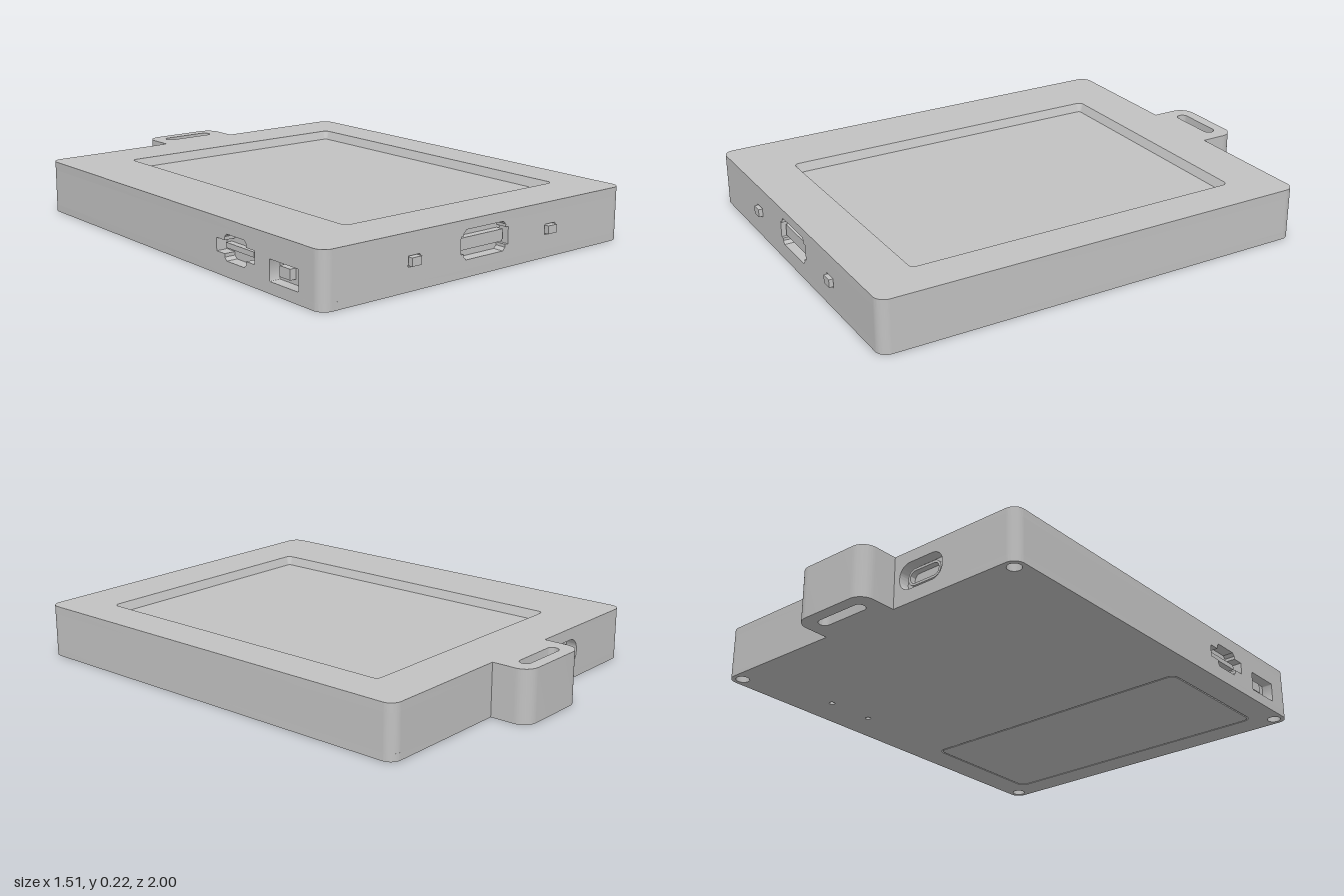
import * as THREE from 'three';
import { toCreasedNormals } from 'three/addons/utils/BufferGeometryUtils.js';

const CX = 0.755, Z0 = -0.84, Z1 = 0.985, R = 0.045; // case extents and wall thickness
const MID = (Z0 + Z1) / 2, LOW = 0.03, HIGH = 0.18, TOP = 0.215;

// Rounded rectangle from corner to corner, as a Shape or Path
function rounded(x0, y0, x1, y1, r, Type = THREE.Path) {
  const p = new Type();
  p.moveTo(x0 + r, y0);
  p.lineTo(x1 - r, y0);
  p.absarc(x1 - r, y0 + r, r, -Math.PI / 2, 0);
  p.lineTo(x1, y1 - r);
  p.absarc(x1 - r, y1 - r, r, 0, Math.PI / 2);
  p.lineTo(x0 + r, y1);
  p.absarc(x0 + r, y1 - r, r, Math.PI / 2, Math.PI);
  p.lineTo(x0, y0 + r);
  p.absarc(x0 + r, y0 + r, r, Math.PI, Math.PI * 1.5);
  return p;
}

const centred = (x, y, w, h, r, Type) => rounded(x - w / 2, y - h / 2, x + w / 2, y + h / 2, r, Type);

function circle(x, y, r) {
  const p = new THREE.Path();
  p.absarc(x, y, r, 0, Math.PI * 2);
  return p;
}

// Wide slot with a finger notch above and below
function notchedSlot(x, y, w, h, nw, nh) {
  const a = w / 2, b = h / 2, c = nw / 2, d = nh / 2, e = 0.012;
  const half = [[a, -b], [a, b], [c, b], [c, d - e], [c - e, d]];
  const other = [[-c + e, d], [-c, d - e], [-c, b], [-a, b], [-a, -b]];
  const low = [[-c, -b], [-c, -d + e], [-c + e, -d], [c - e, -d], [c, -d + e], [c, -b]];
  return new THREE.Path([...half, ...other, ...low].map(([u, v]) => new THREE.Vector2(x + u, y + v)));
}

export function createModel() {
  const model = new THREE.Group();
  const grey = new THREE.MeshStandardMaterial({ color: 0xc2c2c2, side: THREE.DoubleSide });
  grey.name = 'grey plastic';

  function add(name, geometry, x = 0, y = 0, z = 0, turn = 0) {
    const mesh = new THREE.Mesh(geometry, grey);
    mesh.name = name;
    mesh.position.set(x, y, z);
    mesh.rotation.y = turn;
    model.add(mesh);
    return mesh;
  }
  function extrude(shape, depth, holes = []) {
    shape.holes.push(...holes);
    const g = new THREE.ExtrudeGeometry(shape, { depth, bevelEnabled: false, curveSegments: 10 });
    return toCreasedNormals(g, 0.6);
  }
  // Horizontal slab drawn in x and z, between two heights
  const slab = (name, shape, y0, y1, holes) =>
    add(name, extrude(shape, y1 - y0, holes).rotateX(Math.PI / 2), 0, y1, 0);
  const box = (name, w, h, d, x, y, z) => add(name, new THREE.BoxGeometry(w, h, d), x, y, z);
  const outline = () => rounded(-CX, Z0, CX, Z1, R, THREE.Shape);

  // Inner core: floor of the display recess and of every port
  box('core', 2 * (CX - R), HIGH - LOW, Z1 - Z0 - 2 * R, 0, (LOW + HIGH) / 2, MID);
  for (const sx of [-1, 1]) for (const z of [Z0 + R, Z1 - R])
    add('cornerPost', new THREE.CylinderGeometry(R, R, HIGH - LOW, 40), sx * (CX - R), (LOW + HIGH) / 2, z);

  // Top frame with its sloping display bezel
  slab('topFrame', outline(), HIGH, TOP, [rounded(-0.482, -0.635, 0.587, 0.777, 0.022)]);
  const rim = rounded(-0.482, -0.635, 0.587, 0.777, 0.022).getPoints(6);
  const foot = rounded(-0.467, -0.62, 0.572, 0.762, 0.012).getPoints(6);
  const pos = [];
  for (let i = 0; i < rim.length; i++) {
    const j = (i + 1) % rim.length;
    const a = [rim[i].x, TOP, rim[i].y], b = [rim[j].x, TOP, rim[j].y];
    const c = [foot[i].x, HIGH, foot[i].y], d = [foot[j].x, HIGH, foot[j].y];
    pos.push(...a, ...b, ...c, ...b, ...d, ...c);
  }
  const bezel = new THREE.BufferGeometry();
  bezel.setAttribute('position', new THREE.Float32BufferAttribute(pos, 3));
  bezel.computeVertexNormals();
  add('displayBezel', bezel);

  // Bottom plate with screw holes, pin holes and the separate battery cover
  const bottomHoles = [rounded(-0.636, 0.284, 0.636, 0.876, 0.035)];
  for (const sx of [-1, 1]) for (const z of [Z0 + R, Z1 - R])
    bottomHoles.push(circle(sx * (CX - R), z, 0.028));
  bottomHoles.push(circle(0.61, -0.4, 0.012), circle(0.61, -0.19, 0.012));
  slab('bottomPlate', outline(), 0, LOW, bottomHoles);
  slab('batteryCover', rounded(-0.63, 0.29, 0.63, 0.87, 0.03, THREE.Shape), 0, LOW);

  // Side walls with openings; local x runs along the wall
  function wall(name, width, holes, x, z, turn) {
    const shape = rounded(-width / 2, LOW, width / 2, HIGH, 0.00001, THREE.Shape);
    add(name, extrude(shape, R, holes), x, 0, z, turn);
  }
  const wide = 2 * (CX - R), long = Z1 - Z0 - 2 * R;
  wall('frontWall', wide, [
    notchedSlot(0, 0.122, 0.24, 0.066, 0.212, 0.112),
    centred(-0.345, 0.11, 0.056, 0.04, 0.003), centred(0.345, 0.11, 0.056, 0.04, 0.003),
  ], 0, Z1 - R, 0);
  wall('backWall', wide, [centred(0.31, 0.112, 0.21, 0.11, 0.05)], 0, Z0 + R, Math.PI);
  wall('leftWall', long, [], CX - R, MID, Math.PI / 2);
  wall('rightWall', long, [
    notchedSlot(0.5 - MID, 0.11, 0.23, 0.05, 0.13, 0.1),
    centred(0.78 - MID, 0.085, 0.16, 0.08, 0.004),
  ], -CX + R, MID, -Math.PI / 2);

  // Parts set into the openings
  box('frontSlotInsert', 0.212, 0.046, 0.03, 0, 0.122, Z1 - R + 0.015);
  for (const sx of [-1, 1]) box('frontPeg', 0.046, 0.032, 0.06, sx * 0.345, 0.11, 0.97);
  const shell = extrude(centred(0, 0, 0.16, 0.07, 0.034, THREE.Shape), 0.025, [centred(0, 0, 0.14, 0.05, 0.024)]);
  add('backConnector', shell, -0.31, 0.112, Z0 + R, Math.PI);
  box('sideCard', 0.025, 0.02, 0.17, -CX + R - 0.0125, 0.11, 0.5);
  box('sideSwitch', 0.025, 0.04, 0.06, -CX + R - 0.0125, 0.085, 0.76);

  // Strap loop at the back
  const tab = new THREE.Shape();
  tab.moveTo(-0.178, Z0);
  tab.lineTo(-0.178, -0.94);
  tab.absarc(-0.118, -0.94, 0.06, Math.PI, Math.PI * 1.5);
  tab.lineTo(0.114, -1);
  tab.absarc(0.114, -0.94, 0.06, -Math.PI / 2, 0);
  tab.lineTo(0.174, Z0);
  slab('strapLoop', tab, 0, TOP, [rounded(-0.118, -0.952, 0.113, -0.904, 0.0235)]);

  return model;
}
